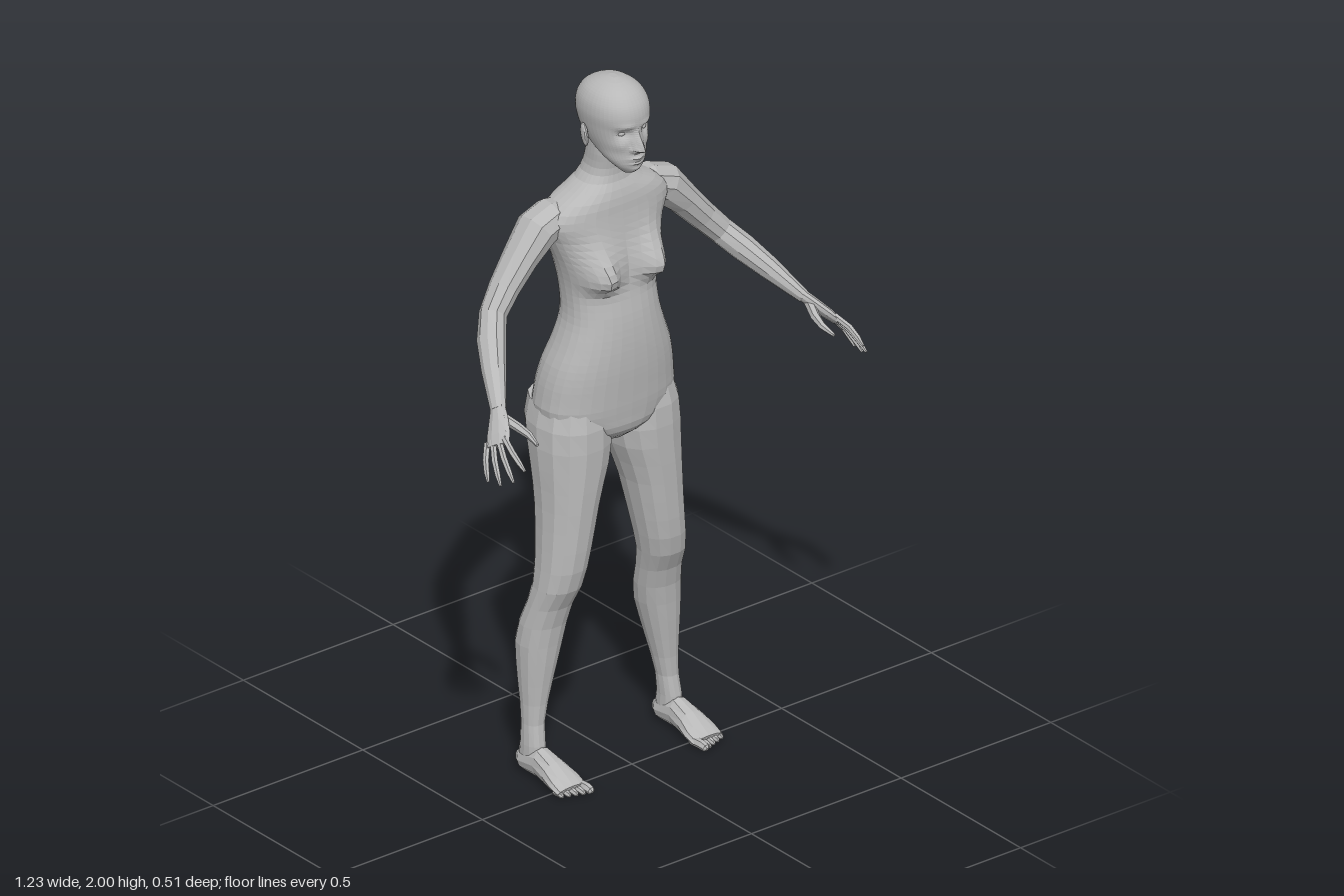
import * as THREE from 'three';

const skin = new THREE.MeshStandardMaterial({ color: 0xb8b8b8, flatShading: true });
skin.name = 'plain grey';

// Skins a list of rings (each counter-clockwise about the direction of travel) and caps both ends.
function loft(name, rings) {
  const n = rings[0].length, pos = [], idx = [];
  rings.forEach(r => r.forEach(p => pos.push(p.x, p.y, p.z)));
  for (let j = 0; j < rings.length - 1; j++) {
    for (let i = 0; i < n; i++) {
      const a = j * n + i, b = j * n + (i + 1) % n;
      idx.push(a, b, a + n, b, b + n, a + n);
    }
  }
  [0, rings.length - 1].forEach(j => {
    const c = new THREE.Vector3();
    rings[j].forEach(p => c.addScaledVector(p, 1 / n));
    const k = pos.length / 3;
    pos.push(c.x, c.y, c.z);
    for (let i = 0; i < n; i++) {
      const a = j * n + i, b = j * n + (i + 1) % n;
      if (j) idx.push(k, a, b); else idx.push(k, b, a);
    }
  });
  const g = new THREE.BufferGeometry();
  g.setAttribute('position', new THREE.Float32BufferAttribute(pos, 3));
  g.setIndex(idx);
  g.computeVertexNormals();
  const mesh = new THREE.Mesh(g, skin);
  mesh.name = name;
  return mesh;
}

// Upright form from sections [y, centre x, half width, front z, back z], rising in y.
function column(name, sections, segs, rows, power = 1, warp = null) {
  const curve = new THREE.CubicInterpolant(sections.map(s => s[0]), sections.flatMap(s => s.slice(1)), 4);
  const y0 = sections[0][0], y1 = sections[sections.length - 1][0];
  const bend = v => Math.sign(v) * Math.abs(v) ** power;
  const rings = [];
  for (let j = 0; j <= rows; j++) {
    const y = y0 + (y1 - y0) * j / rows;
    const [xc, hw, zf, zb] = curve.evaluate(y);
    const ring = [];
    for (let i = 0; i < segs; i++) {
      const a = i / segs * Math.PI * 2, f = -Math.sin(a);
      const p = new THREE.Vector3(xc + hw * bend(Math.cos(a)), y, (zf + zb) / 2 + (zf - zb) / 2 * bend(f));
      if (warp) p.z += warp(p.x, y, f);
      ring.push(p);
    }
    rings.push(ring);
  }
  return loft(name, rings);
}

// Limb along points [x, y, z, side radius, depth radius]; ref is the depth direction.
function limb(name, pts, ref, segs, s = 1) {
  const c = pts.map(p => new THREE.Vector3(p[0] * s, p[1], p[2]));
  const up = new THREE.Vector3(ref[0] * s, ref[1], ref[2]);
  return loft(name, pts.map((p, k) => {
    const t = c[Math.min(k + 1, c.length - 1)].clone().sub(c[Math.max(k - 1, 0)]).normalize();
    const u = up.clone().cross(t).normalize(), v = t.clone().cross(u);
    return Array.from({ length: segs }, (_, i) => {
      const a = i / segs * Math.PI * 2;
      return c[k].clone().addScaledVector(u, Math.cos(a) * p[3]).addScaledVector(v, Math.sin(a) * (p[4] ?? p[3]));
    });
  }));
}

function blob(name, pos, size, rot = [0, 0, 0]) {
  const m = new THREE.Mesh(new THREE.SphereGeometry(1, 12, 8), skin);
  m.name = name;
  m.position.set(...pos);
  m.scale.set(...size);
  m.rotation.set(...rot);
  return m;
}

// Smooth bump with its own spread above and below.
const bump = (x, y, cx, cy, sx, up, down) =>
  Math.exp(-(((x - cx) / sx) ** 2) - ((y - cy) / (y > cy ? up : down)) ** 2);

// Chest forward, spine and cleft inward
function torsoWarp(x, y, f) {
  if (f > 0) return 0.056 * Math.min(1, f * 2) * bump(Math.abs(x), y, 0.088, 1.445, 0.045, 0.075, 0.032);
  return -f * (0.014 * bump(x, y, 0, 1.4, 0.025, 0.25, 0.25) + 0.045 * bump(x, y, 0, 1.02, 0.022, 0.08, 0.1)
    - 0.014 * bump(Math.abs(x), y, 0.08, 1.04, 0.06, 0.07, 0.07));
}

// Nose, sockets, brow, cheeks, lips and chin
function faceWarp(x, y, f) {
  if (f <= 0) return 0;
  const ax = Math.abs(x);
  return Math.min(1, f * 2) * (0.032 * bump(x, y, 0, 1.828, 0.012, 0.036, 0.01)
    + 0.008 * bump(ax, y, 0.014, 1.825, 0.008, 0.01, 0.007)
    - 0.014 * bump(ax, y, 0.034, 1.872, 0.017, 0.013, 0.014)
    + 0.005 * bump(ax, y, 0.033, 1.895, 0.024, 0.01, 0.008)
    + 0.005 * bump(ax, y, 0.048, 1.838, 0.016, 0.014, 0.016)
    + 0.01 * bump(x, y, 0, 1.797, 0.02, 0.007, 0.005)
    + 0.008 * bump(x, y, 0, 1.784, 0.018, 0.005, 0.005)
    + 0.006 * bump(x, y, 0, 1.762, 0.02, 0.009, 0.01));
}

export function createModel() {
  const model = new THREE.Group();
  model.name = 'figure';

  // Torso and neck
  model.add(column('torso', [
    [0.945, 0, 0.04, -0.05, -0.15], [0.98, 0, 0.13, -0.012, -0.215], [1.04, 0, 0.202, 0, -0.24],
    [1.1, 0, 0.203, 0.005, -0.243], [1.18, 0, 0.187, 0.01, -0.228], [1.25, 0, 0.16, 0.01, -0.208],
    [1.32, 0, 0.139, 0.004, -0.196], [1.4, 0, 0.138, -0.01, -0.2], [1.48, 0, 0.153, -0.016, -0.21],
    [1.55, 0, 0.178, -0.028, -0.215], [1.61, 0, 0.2, -0.036, -0.21], [1.65, 0, 0.168, -0.04, -0.203],
    [1.68, 0, 0.108, -0.048, -0.193], [1.7, 0, 0.074, -0.057, -0.184], [1.73, 0, 0.057, -0.06, -0.173],
    [1.78, 0, 0.054, -0.052, -0.158], [1.84, 0, 0.054, -0.05, -0.15],
  ], 32, 44, 0.85, torsoWarp));

  // Head
  const head = new THREE.Group();
  head.name = 'head';
  model.add(head);
  head.add(column('skull', [
    [1.75, 0, 0.02, 0.006, -0.03], [1.77, 0, 0.04, 0.02, -0.055], [1.79, 0, 0.055, 0.023, -0.09],
    [1.82, 0, 0.066, 0.024, -0.145], [1.85, 0, 0.075, 0.024, -0.172], [1.88, 0, 0.081, 0.025, -0.187],
    [1.92, 0, 0.085, 0.028, -0.19], [1.955, 0, 0.077, 0.015, -0.178], [1.98, 0, 0.057, -0.01, -0.152],
    [1.995, 0, 0.029, -0.042, -0.115], [2, 0, 0.01, -0.065, -0.093],
  ], 48, 46, 0.92, faceWarp));

  for (const s of [1, -1]) {
    const side = s > 0 ? 'left' : 'right';
    head.add(blob(side + 'Eye', [s * 0.033, 1.872, -0.004], [0.015, 0.009, 0.012]));
    head.add(blob(side + 'Ear', [s * 0.087, 1.85, -0.09], [0.009, 0.033, 0.02], [-0.2, s * 0.35, 0]));

    // Arm
    const back = [0.73, 0.68, -0.03];
    const arm = new THREE.Group();
    arm.name = side + 'Arm';
    model.add(arm);
    arm.add(limb('armLength', [
      [0.11, 1.615, -0.135, 0.045, 0.04], [0.16, 1.612, -0.137, 0.058, 0.052], [0.21, 1.592, -0.135, 0.06, 0.057],
      [0.27, 1.53, -0.13, 0.052, 0.045], [0.33, 1.463, -0.122, 0.044, 0.04], [0.38, 1.408, -0.106, 0.038, 0.037],
      [0.42, 1.362, -0.062, 0.04, 0.037], [0.46, 1.312, -0.002, 0.034, 0.031], [0.51, 1.245, 0.08, 0.023, 0.018],
    ], back, 10, s));
    arm.add(limb('palm', [
      [0.505, 1.252, 0.072, 0.021, 0.016], [0.525, 1.23, 0.1, 0.03, 0.016], [0.55, 1.202, 0.13, 0.038, 0.015],
      [0.566, 1.184, 0.148, 0.037, 0.011],
    ], back, 10, s));
    const tips = [[0.565, 1.155, 0.26], [0.589, 1.122, 0.243], [0.604, 1.103, 0.207], [0.612, 1.1, 0.165]];
    tips.forEach((t, k) => {
      const f = k / 3, knuckle = [0.553 + 0.025 * f, 1.2 - 0.03 * f, 0.17 - 0.051 * f];
      const at = (q, lift) => knuckle.map((v, i) => v + (t[i] - v) * q + back[i] * lift);
      arm.add(limb('finger' + (k + 1), [
        [...at(-0.15, 0), 0.009], [...at(0.4, 0.008), 0.009], [...at(0.75, 0.005), 0.008], [...at(1, 0), 0.004],
      ], back, 6, s));
    });
    arm.add(limb('thumb', [
      [0.515, 1.235, 0.095, 0.014], [0.497, 1.217, 0.145, 0.013], [0.49, 1.206, 0.185, 0.01], [0.495, 1.195, 0.225, 0.005],
    ], back, 6, s));

    // Leg
    const leg = new THREE.Group();
    leg.name = side + 'Leg';
    model.add(leg);
    leg.add(column('legLength', [
      [0.03, 0.228, 0.03, -0.09, -0.176], [0.07, 0.228, 0.03, -0.088, -0.17], [0.12, 0.226, 0.028, -0.1, -0.166],
      [0.2, 0.218, 0.035, -0.1, -0.176], [0.3, 0.207, 0.051, -0.09, -0.194], [0.4, 0.195, 0.065, -0.08, -0.2],
      [0.48, 0.184, 0.064, -0.066, -0.174], [0.54, 0.175, 0.064, -0.036, -0.16], [0.6, 0.165, 0.067, -0.022, -0.162],
      [0.7, 0.15, 0.074, -0.015, -0.175], [0.8, 0.137, 0.083, -0.01, -0.192], [0.93, 0.117, 0.105, -0.006, -0.225],
      [1, 0.115, 0.105, -0.006, -0.247], [1.07, 0.112, 0.09, -0.02, -0.245],
    ].map(r => [r[0], r[1] * s, ...r.slice(2)]), 14, 18, 0.9));

    // Foot and toes
    leg.add(limb('foot', [
      [0.228, 0.026, -0.18, 0.018, 0.02], [0.228, 0.034, -0.155, 0.033, 0.034], [0.228, 0.043, -0.09, 0.034, 0.043],
      [0.228, 0.034, -0.04, 0.042, 0.034], [0.227, 0.023, 0, 0.05, 0.023], [0.227, 0.013, 0.035, 0.049, 0.013],
    ], [0, 1, 0], 12, s));
    for (let k = 0; k < 5; k++) {
      const x = 0.192 + k * 0.0185, r = k ? 0.009 : 0.013, tip = k ? 0.073 - k * 0.007 : 0.075;
      leg.add(limb('toe' + (k + 1), [
        [x, r, 0.01, r], [x, r + 0.002, tip - 0.02, r], [x, r, tip - 0.005, r * 0.85], [x, r * 0.8, tip, r * 0.4],
      ], [0, 1, 0], 6, s));
    }
  }
  return model;
}
